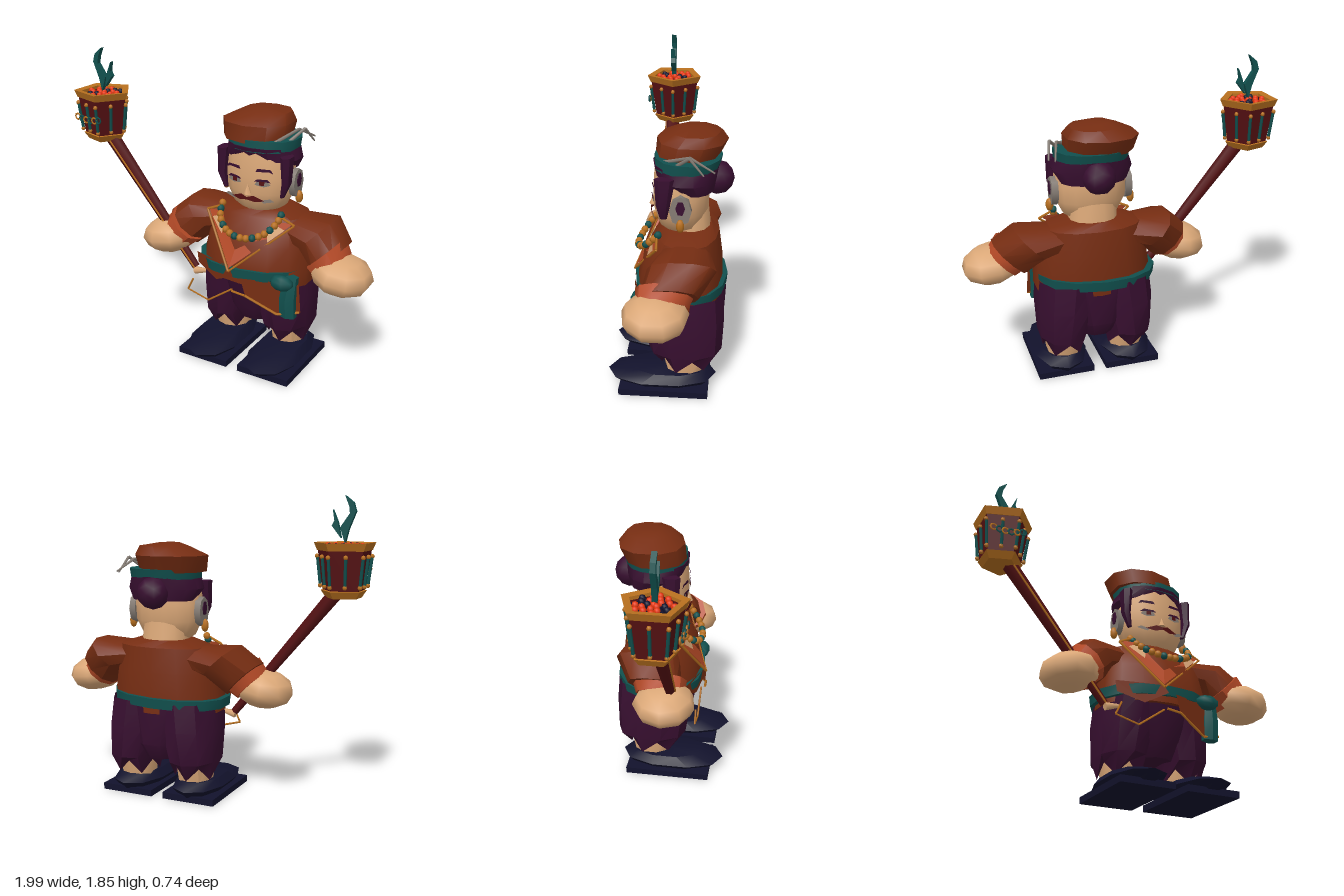
import * as THREE from 'three';
import { toCreasedNormals } from 'three/addons/utils/BufferGeometryUtils.js';

const mat = (name, color) => new THREE.MeshStandardMaterial({ name, color, side: THREE.DoubleSide });
const M = {
  brown: mat('brown cloth', 0x762d12), maroon: mat('maroon wood', 0x541012), teal: mat('teal cloth', 0x11504e),
  purple: mat('dark purple', 0x380f30), navy: mat('navy leather', 0x12122c), skin: mat('skin', 0xdba878),
  gold: mat('gold', 0xb8701f), coral: mat('coral cloth', 0xb54a27), grey: mat('grey', 0x857c74),
  ember: mat('ember red', 0xe8360f),
};

function add(parent, name, geo, material, x = 0, y = 0, z = 0) {
  const m = new THREE.Mesh(geo, material);
  m.name = name;
  m.position.set(x, y, z);
  parent.add(m);
  return m;
}

// Skin over elliptical rings [y, cx, cz, rx, rz], listed upward; s = -1 mirrors in x
function loft(rings, { n = 12, s = 1, tilt = 0, jag = 0, caps = true, pow = 0.9 } = {}) {
  const pos = [], idx = [];
  const sq = (v) => Math.sign(v) * Math.abs(v) ** pow;
  rings.forEach(([y, cx, cz, rx, rz], i) => {
    for (let j = 0; j < n; j++) {
      const a = s * (j + 0.5) / n * Math.PI * 2;
      const u = rx * sq(Math.cos(a));
      const lift = i === 0 && j % 2 ? jag : 0;
      pos.push(s * (cx + u * Math.cos(tilt)), y + u * Math.sin(tilt) + lift, cz + rz * sq(Math.sin(a)));
    }
  });
  const last = (rings.length - 1) * n, c = rings.length * n;
  for (let i = 0; i < rings.length - 1; i++) for (let j = 0; j < n; j++) {
    const a = i * n + j, b = i * n + (j + 1) % n;
    idx.push(a, a + n, b, b, a + n, b + n);
  }
  if (caps) {
    for (const r of [rings[0], rings.at(-1)]) pos.push(s * r[1], r[0], r[2]);
    for (let j = 0; j < n; j++) {
      const k = (j + 1) % n;
      idx.push(c, j, k, c + 1, last + k, last + j);
    }
  }
  const g = new THREE.BufferGeometry();
  g.setAttribute('position', new THREE.Float32BufferAttribute(pos, 3));
  g.setIndex(idx);
  return toCreasedNormals(g, 0.7);
}

// Straight rod between two points
function bar(parent, name, a, b, r0, r1, material, sides = 5) {
  const A = new THREE.Vector3(...a), d = new THREE.Vector3(...b).sub(A);
  const m = add(parent, name, new THREE.CylinderGeometry(r1, r0, d.length(), sides), material);
  m.position.copy(A).addScaledVector(d, 0.5);
  m.quaternion.setFromUnitVectors(new THREE.Vector3(0, 1, 0), d.normalize());
  return m;
}

// Thin polygon in x,y pushed onto a surface z = f(x, y)
function panel(parent, name, pts, f, material) {
  const g = new THREE.ShapeGeometry(new THREE.Shape(pts.map((p) => new THREE.Vector2(...p))));
  const p = g.attributes.position;
  for (let i = 0; i < p.count; i++) p.setZ(i, f(p.getX(i), p.getY(i)));
  g.computeVertexNormals();
  return add(parent, name, g, material);
}

function trim(parent, name, pts, f, r = 0.008) {
  for (let i = 1; i < pts.length; i++) {
    const [a, b] = [pts[i - 1], pts[i]];
    bar(parent, name, [...a, f(...a)], [...b, f(...b)], r, r, M.gold, 4);
  }
}

const chestZ = (x, y) => 0.235 - (y - 0.62) * 0.32 - Math.abs(x + 0.06) * 0.2;
const skirtZ = (x) => 0.23 - 0.3 * Math.abs(x);
const faceZ = (x) => 0.118 - 0.22 * Math.abs(x);

function limbs(body, s) {
  // Shoe, ankle and ragged trouser leg
  add(body, 'sole', new THREE.BoxGeometry(0.345, 0.04, 0.535), M.navy, s * 0.212, 0.02, 0.022);
  add(body, 'shoe', loft([[0.03, 0.21, 0.03, 0.13, 0.28], [0.075, 0.21, 0.04, 0.17, 0.33],
    [0.122, 0.21, 0, 0.13, 0.23]], { n: 10, s }), M.navy);
  add(body, 'ankle', loft([[0.1, 0.2, -0.1, 0.105, 0.115], [0.26, 0.2, -0.1, 0.12, 0.15]], { n: 10, s }), M.skin);
  add(body, 'trouserLeg', loft([[0.13, 0.2, -0.1, 0.125, 0.14], [0.25, 0.205, -0.1, 0.15, 0.22],
    [0.45, 0.18, -0.09, 0.185, 0.24], [0.62, 0.16, -0.07, 0.19, 0.25]], { n: 10, s, jag: 0.08, caps: false }), M.purple);
  // Arm
  add(body, 'sleeve', loft([[0.76, 0.5, -0.03, 0.14, 0.165], [0.87, 0.385, -0.09, 0.135, 0.195],
    [0.89, 0.2, -0.1, 0.1, 0.14]], { n: 10, s, tilt: Math.PI / 4 }), M.brown);
  add(body, 'cuff', loft([[0.715, 0.535, 0.01, 0.115, 0.15], [0.79, 0.47, -0.01, 0.135, 0.17]],
    { n: 10, s, tilt: Math.PI / 4 }), M.coral);
  const fist = add(body, 'fist', new THREE.SphereGeometry(1, 9, 6), M.skin, s * 0.595, 0.695, 0.04);
  fist.scale.set(0.185, 0.115, 0.19);
  fist.rotation.z = -s * 0.15;
}

function clothes(body) {
  add(body, 'trouserSeat', loft([[0.25, 0, -0.09, 0.12, 0.16], [0.35, 0, -0.09, 0.2, 0.22],
    [0.62, 0, -0.06, 0.34, 0.25]]), M.purple);
  add(body, 'tunic', loft([[0.55, 0, -0.055, 0.36, 0.255], [0.65, 0, -0.055, 0.36, 0.255],
    [0.8, 0, -0.07, 0.335, 0.235], [0.95, 0, -0.1, 0.3, 0.185], [0.99, 0, -0.1, 0.17, 0.14]], { n: 14 }), M.brown);
  add(body, 'belt', loft([[0.59, 0, -0.06, 0.37, 0.275], [0.65, 0, -0.06, 0.375, 0.28]], { n: 14 }), M.teal)
    .rotation.z = 0.03;
  // Open lapels with gold edging
  for (const s of [1, -1]) {
    panel(body, 'lapel', [[s * 0.28, 0.95], [-0.06, 0.65], [-0.04, 0.76], [s * 0.11, 0.85], [s * 0.17, 0.95]], chestZ, M.coral);
    panel(body, 'shirtPatch', [[s * 0.24, 0.91], [s * 0.15, 0.83], [s * 0.14, 0.88], [s * 0.19, 0.93]],
      (x, y) => chestZ(x, y) + 0.006, M.skin);
    trim(body, 'lapelTrim', [[s * 0.2, 0.98], [s * 0.29, 0.94], [-0.06, 0.63]], chestZ);
  }
  // Skirt flaps and cords
  panel(body, 'skirtFlap', [[0.02, 0.6], [0.05, 0.49], [0.24, 0.39], [0.375, 0.42], [0.36, 0.6]], skirtZ, M.brown);
  panel(body, 'bellyFold', [[-0.34, 0.66], [-0.33, 0.59], [-0.17, 0.53], [-0.03, 0.6], [-0.06, 0.65]],
    (x) => skirtZ(x) + 0.005, M.brown);
  trim(body, 'flapTrim', [[-0.04, 0.5], [0.05, 0.49], [0.24, 0.39], [0.37, 0.42]], (x) => skirtZ(x) + 0.005);
  trim(body, 'cord', [[-0.33, 0.5], [-0.37, 0.42], [-0.22, 0.38], [-0.05, 0.5]], () => 0.2, 0.006);
  // Sash knot and tail
  add(body, 'sashKnot', new THREE.SphereGeometry(0.06, 7, 5), M.teal, 0.27, 0.61, 0.17).scale.set(1.3, 0.8, 0.8);
  add(body, 'sashTail', loft([[0.38, 0.3, 0.13, 0.055, 0.04], [0.5, 0.3, 0.14, 0.055, 0.04],
    [0.64, 0.31, 0.12, 0.045, 0.035]], { n: 6 }), M.teal);
  // Bead necklace
  for (let i = 0; i < 17; i++) {
    const a = (i / 16 - 0.5) * Math.PI;
    add(body, 'necklaceBead', new THREE.SphereGeometry(0.023, 7, 5), i % 3 === 1 ? M.teal : M.gold,
      0.2 * Math.sin(a), 0.99 - 0.14 * Math.cos(a), 0.06 + 0.135 * Math.cos(a));
  }
}

function head(body) {
  add(body, 'neck', loft([[0.93, 0, -0.11, 0.15, 0.13], [1.1, 0, -0.1, 0.14, 0.12]]), M.skin);
  add(body, 'face', loft([[0.965, 0, -0.05, 0.1, 0.08], [1.01, 0, -0.055, 0.17, 0.13], [1.1, 0, -0.06, 0.215, 0.16],
    [1.2, 0, -0.06, 0.222, 0.165], [1.3, 0, -0.06, 0.21, 0.16], [1.38, 0, -0.06, 0.19, 0.15]], { n: 16, pow: 1 }), M.skin);
  add(body, 'hair', loft([[1.23, 0, -0.13, 0.2, 0.13], [1.3, 0, -0.095, 0.24, 0.18], [1.38, 0, -0.09, 0.215, 0.195]],
    { n: 14 }), M.purple);
  add(body, 'hairBun', new THREE.IcosahedronGeometry(0.1, 1), M.purple, 0, 1.28, -0.265);
  add(body, 'headband', loft([[1.355, 0, -0.09, 0.22, 0.19], [1.42, 0, -0.1, 0.225, 0.195]], { n: 14 }), M.teal);
  add(body, 'hat', loft([[1.4, -0.045, -0.09, 0.205, 0.185], [1.5, -0.05, -0.12, 0.222, 0.205],
    [1.555, -0.01, -0.14, 0.15, 0.14], [1.575, -0.04, -0.13, 0.06, 0.07]], { n: 10 }), M.brown);
  // Bent feathers tucked in the band
  for (const [a, b, c] of [[[0.13, 1.41, 0.03], [0.21, 1.47, -0.12], [0.25, 1.4, -0.26]],
    [[0.18, 1.4, -0.03], [0.25, 1.48, -0.12], [0.275, 1.39, -0.2]]]) {
    bar(body, 'feather', a, b, 0.012, 0.009, M.grey);
    bar(body, 'feather', b, c, 0.009, 0.005, M.grey);
  }
  for (const s of [1, -1]) {
    add(body, 'sideburn', loft([[1.09, 0.19, 0.03, 0.012, 0.02], [1.18, 0.215, 0.03, 0.025, 0.04],
      [1.34, 0.21, 0.02, 0.035, 0.06]], { n: 6, s }), M.purple);
    // Ear plate and drop
    const ear = add(body, 'earPlate', new THREE.CylinderGeometry(0.09, 0.09, 0.04, 8), M.grey, s * 0.225, 1.16, -0.07);
    ear.rotation.z = Math.PI / 2;
    ear.scale.z = 0.7;
    const hole = add(body, 'earInset', new THREE.CylinderGeometry(0.045, 0.045, 0.008, 6), M.purple, s * 0.247, 1.18, -0.07);
    hole.rotation.z = Math.PI / 2;
    hole.scale.z = 0.6;
    add(body, 'earring', new THREE.SphereGeometry(0.024, 7, 5), M.gold, s * 0.25, 1.075, -0.07).scale.y = 1.7;
    // Brow, eye and moustache
    panel(body, 'eyebrow', [[s * 0.05, 1.245], [s * 0.06, 1.265], [s * 0.14, 1.265], [s * 0.155, 1.24], [s * 0.13, 1.25]], faceZ, M.purple);
    panel(body, 'eyeWhite', [[s * 0.045, 1.165], [s * 0.06, 1.19], [s * 0.12, 1.195], [s * 0.14, 1.17], [s * 0.1, 1.155]], faceZ, M.grey);
    panel(body, 'eyelid', [[s * 0.04, 1.185], [s * 0.06, 1.2], [s * 0.12, 1.205], [s * 0.145, 1.185], [s * 0.1, 1.19]],
      (x) => faceZ(x) + 0.003, M.purple);
    panel(body, 'pupil', [[s * 0.075, 1.165], [s * 0.075, 1.19], [s * 0.105, 1.19], [s * 0.105, 1.165]],
      (x) => faceZ(x) + 0.004, M.maroon);
    panel(body, 'moustache', [[0, 1.085], [s * 0.04, 1.097], [s * 0.11, 1.07], [s * 0.05, 1.058], [0, 1.07]],
      (x) => faceZ(x) + 0.004, M.maroon);
    panel(body, 'whisker', [[s * 0.08, 1.07], [s * 0.14, 1.085], [s * 0.165, 1.07], [s * 0.1, 1.055]], faceZ, M.grey);
  }
  add(body, 'nose', new THREE.ConeGeometry(0.025, 0.06, 5), M.skin, 0, 1.13, 0.105);
}

function brazierStaff(root) {
  const g = new THREE.Group();
  g.name = 'brazierStaff';
  root.add(g);
  bar(g, 'staff', [-0.15, 0.52, 0.08], [-0.8, 1.31, 0.08], 0.025, 0.046, M.maroon, 6);
  bar(g, 'staffInlay', [-0.15, 0.52, 0.103], [-0.78, 1.285, 0.123], 0.007, 0.007, M.gold, 4);
  bar(g, 'staffTip', [-0.15, 0.5, 0.09], [-0.05, 0.52, 0.09], 0.025, 0.01, M.skin, 6);
  // Five-sided bowl with gold rim and foot
  const cup = new THREE.Group();
  cup.name = 'brazier';
  cup.position.set(-0.835, 0, 0.07);
  g.add(cup);
  const ring = (pts) => toCreasedNormals(new THREE.LatheGeometry(pts.map((p) => new THREE.Vector2(...p)), 5, Math.PI / 2), 0.3);
  add(cup, 'bowl', ring([[0.001, 1.28], [0.125, 1.29], [0.165, 1.56], [0.14, 1.56], [0.135, 1.53]]), M.maroon);
  add(cup, 'rim', ring([[0.14, 1.545], [0.168, 1.54], [0.188, 1.585], [0.14, 1.58], [0.14, 1.545]]), M.gold);
  add(cup, 'foot', ring([[0.001, 1.26], [0.11, 1.268], [0.14, 1.31], [0.12, 1.315]]), M.gold);
  add(cup, 'coalBed', ring([[0.14, 1.55], [0.001, 1.555]]), M.navy);
  for (let i = 0; i < 10; i++) {
    const a = i * Math.PI / 5, k = i % 2 ? 0.83 : 1;
    const at = (r, y) => [Math.cos(a) * r * k, y, Math.sin(a) * r * k];
    bar(cup, 'rod', at(0.144, 1.34), at(0.164, 1.5), 0.01, 0.01, M.teal);
    for (const [r, y] of [[0.144, 1.335], [0.166, 1.505]])
      add(cup, 'rodKnob', new THREE.SphereGeometry(0.014, 6, 4), M.gold, ...at(r, y));
  }
  // Front chain
  for (let i = 0; i < 6; i++) {
    const x = -0.1 + i * 0.035;
    add(cup, 'chainLink', new THREE.TorusGeometry(0.019, 0.006, 4, 8), i % 2 ? M.teal : M.gold,
      x, 1.43 - 0.012 * Math.sin(i / 5 * Math.PI), 0.148 + (x + 0.1) * 0.1);
  }
  // Glowing coals
  for (let i = 0; i < 22; i++) {
    const a = i * 2.4, r = 0.024 * Math.sqrt(i);
    add(cup, 'coal', new THREE.SphereGeometry(0.02, 6, 4), i % 4 === 2 ? M.navy : M.ember, Math.cos(a) * r, 1.565, Math.sin(a) * r);
  }
  // Curling wisps
  for (const pts of [[[0, 1.58], [-0.02, 1.66], [-0.06, 1.76], [-0.045, 1.81], [0.005, 1.85], [-0.02, 1.79], [-0.025, 1.75], [0.03, 1.67]],
    [[0.025, 1.61], [0.045, 1.7], [0.075, 1.77], [0.065, 1.71], [0.08, 1.68]]]) {
    const shape = new THREE.Shape(pts.map((p) => new THREE.Vector2(...p)));
    add(cup, 'wisp', new THREE.ExtrudeGeometry(shape, { depth: 0.03, bevelEnabled: false }), M.teal, 0, 0, -0.01);
  }
}

export function createModel() {
  const root = new THREE.Group();
  root.name = 'figure';
  const body = new THREE.Group();
  body.name = 'body';
  body.position.x = 0.235;
  root.add(body);
  for (const s of [1, -1]) limbs(body, s);
  clothes(body);
  head(body);
  brazierStaff(root);
  return root;
}
